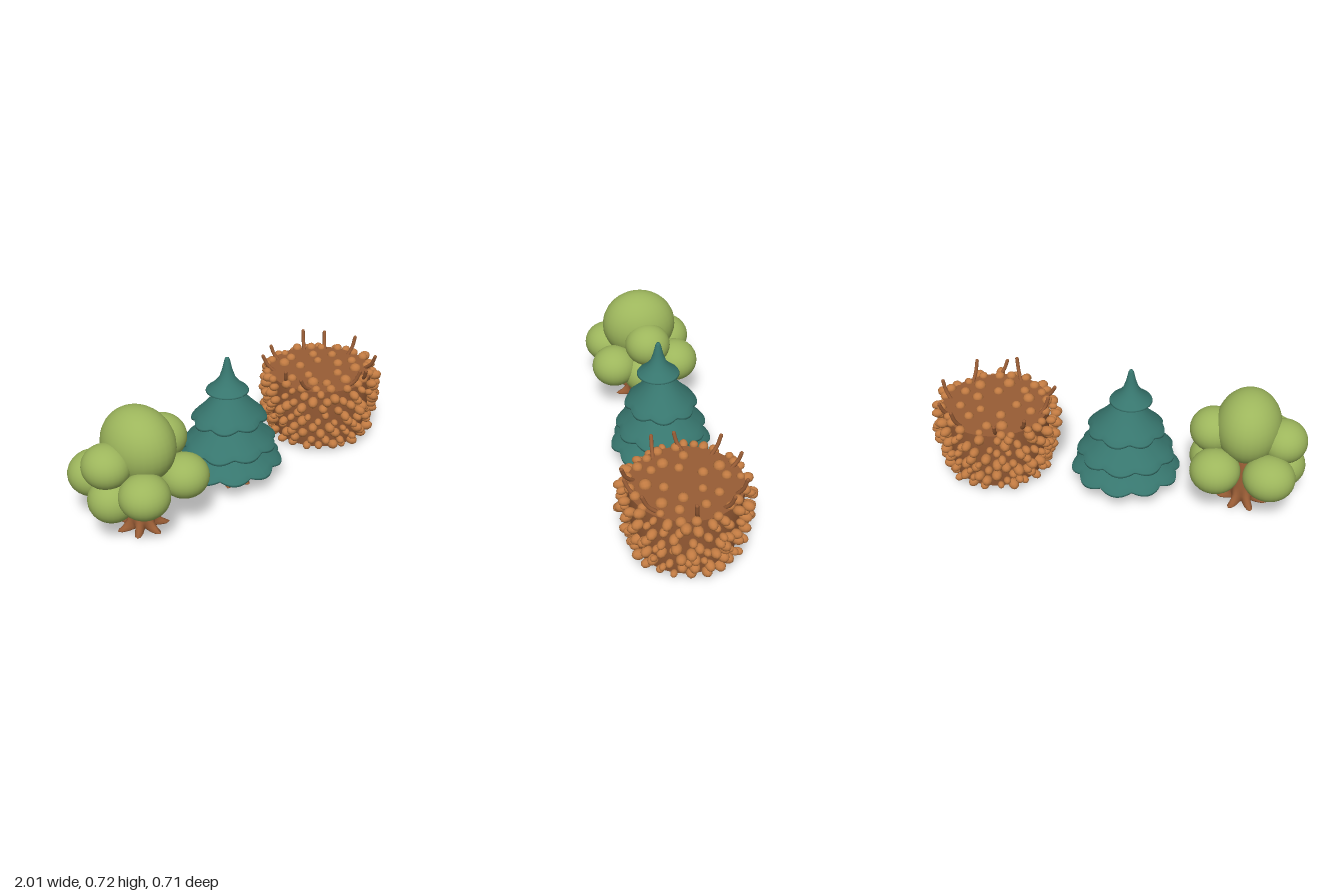
import * as THREE from 'three';
import { mergeGeometries } from 'three/addons/utils/BufferGeometryUtils.js';

const mat = (name, color) => {
  const m = new THREE.MeshStandardMaterial({ color });
  m.name = name;
  return m;
};

// seeded random numbers in 0..1
let seed = 7;
const rnd = () => {
  seed = (seed * 16807) % 2147483647;
  return seed / 2147483647;
};
const vary = (a) => (rnd() - 0.5) * 2 * a;

function add(parent, name, geometry, material) {
  const mesh = new THREE.Mesh(geometry, material);
  mesh.name = name;
  parent.add(mesh);
  return mesh;
}

const lathe = (points, segments) =>
  new THREE.LatheGeometry(points.map(([r, y]) => new THREE.Vector2(r, y)), segments);

// lathe whose vertices are then reshaped by rule(radius, y, angle) -> [radius, y]
function shapedLathe(points, segments, rule) {
  const g = lathe(points, segments);
  const p = g.attributes.position;
  for (let i = 0; i < p.count; i++) {
    const x = p.getX(i), z = p.getZ(i);
    const a = Math.atan2(x, z);
    const [r, y] = rule(Math.hypot(x, z), p.getY(i), a);
    p.setXYZ(i, r * Math.sin(a), y, r * Math.cos(a));
  }
  g.computeVertexNormals();
  return g;
}

// tapering trunk with a star of roots at the foot
function trunkGeometry() {
  const profile = [[0, 0.008], [0.088, 0.005], [0.096, 0.012], [0.085, 0.026], [0.074, 0.055],
    [0.067, 0.11], [0.059, 0.2], [0.048, 0.32], [0, 0.33]];
  return shapedLathe(profile, 56, (r, y, a) => {
    const flare = Math.max(0, 1 - y / 0.06);
    return [r * (1 + 0.55 * flare * Math.cos(7 * a)), y];
  });
}

// hollow skirt of foliage with a scalloped, drooping rim
function skirtGeometry({ y0, r0, y1, r1, lobes, turn }) {
  const outer = [], inner = [];
  for (let i = 0; i <= 8; i++) {
    const t = 1 - i / 8;
    const r = r1 + (r0 - r1) * Math.pow(t, 1.4), y = y0 + 0.016 + (y1 - y0 - 0.016) * (1 - t);
    outer.push([r, y]);
    inner.unshift([Math.max(r - 0.014, 0.01), y - 0.012]);
  }
  const profile = [...inner, [r0 - 0.012, y0], [r0, y0 + 0.004], ...outer];
  return shapedLathe(profile, 100, (r, y, a) => {
    const t = Math.min(1, Math.max(0, (y1 - y) / (y1 - y0)));
    const lobe = Math.abs(Math.cos((lobes * (a + turn)) / 2));
    return [r * (1 + 0.09 * t * t * (lobe - 0.85)), y - 0.018 * t ** 3 * (lobe - 0.5)];
  });
}

// one berry: a sphere stretched along the given direction
function berry(x, y, z, size, stretch, dir) {
  const g = new THREE.SphereGeometry(1, 10, 7);
  g.applyMatrix4(new THREE.Matrix4().compose(
    new THREE.Vector3(x, y, z),
    new THREE.Quaternion().setFromUnitVectors(new THREE.Vector3(0, 0, 1), dir.normalize()),
    new THREE.Vector3(size, size * 0.95, size * stretch)));
  return g;
}

export function createModel() {
  const leaf = mat('leaf green', 0x9db65c);
  const pine = mat('pine teal', 0x37766e);
  const bark = mat('bark brown', 0x985c35);
  bark.side = THREE.DoubleSide;
  const fruit = mat('berry orange', 0xc27b42);
  const model = new THREE.Group();
  model.name = 'plants';

  // round-crowned tree
  const tree = new THREE.Group();
  tree.name = 'leafyTree';
  tree.position.x = -0.69;
  model.add(tree);
  add(tree, 'treeTrunk', trunkGeometry(), bark);
  const blobs = [ // x, y, z, rx, ry, rz
    [-0.002, 0.475, 0, 0.17, 0.193, 0.205],
    [-0.19, 0.42, -0.02, 0.12, 0.11, 0.125],
    [0.174, 0.437, -0.02, 0.122, 0.115, 0.125],
    [-0.19, 0.247, 0.01, 0.12, 0.115, 0.12],
    [0.169, 0.253, 0, 0.125, 0.117, 0.12],
    [-0.12, 0.3, 0.168, 0.128, 0.112, 0.127],
    [0.145, 0.3, 0.165, 0.124, 0.112, 0.125],
    [-0.14, 0.295, -0.182, 0.134, 0.115, 0.128],
    [0.135, 0.295, -0.182, 0.13, 0.115, 0.126],
  ];
  blobs.forEach(([x, y, z, rx, ry, rz], i) => {
    const blob = add(tree, i ? 'crownBlob' : 'crownTop', new THREE.SphereGeometry(1, 28, 18), leaf);
    blob.position.set(x, y, z);
    blob.scale.set(rx, ry, rz);
  });

  // conifer
  const conifer = new THREE.Group();
  conifer.name = 'conifer';
  conifer.position.set(-0.055, 0, -0.01);
  model.add(conifer);
  add(conifer, 'coniferTrunk', trunkGeometry(), bark).position.z = 0.01;
  [
    { y0: 0.105, r0: 0.288, y1: 0.28, r1: 0.12, lobes: 10, turn: 0 },
    { y0: 0.215, r0: 0.258, y1: 0.41, r1: 0.09, lobes: 9, turn: 0.3 },
    { y0: 0.36, r0: 0.204, y1: 0.56, r1: 0.05, lobes: 8, turn: 0.1 },
  ].forEach((s) => {
    add(conifer, 'foliageSkirt', skirtGeometry(s), pine).scale.z = 0.93;
  });
  const tip = [[0.02, 0.56], [0.05, 0.548], [0.104, 0.53], [0.112, 0.534], [0.108, 0.541], [0.072, 0.57],
    [0.042, 0.608], [0.026, 0.655], [0.014, 0.708], [0.009, 0.718], [0, 0.721]];
  add(conifer, 'foliageTip', shapedLathe(tip, 40, (r, y) => [r, y]), pine).position.set(-0.022, 0, 0.01);

  // berry bush: a bulging wall, open below, with a flat top
  const bush = new THREE.Group();
  bush.name = 'berryBush';
  bush.position.x = 0.662;
  model.add(bush);
  const yTop = 0.388;
  const wall = [[0.245, 0.025], [0.262, 0.1], [0.278, 0.22], [0.286, yTop]];
  add(bush, 'bushWall', lathe(wall, 40), bark);
  const lid = add(bush, 'bushTop', new THREE.CircleGeometry(0.286, 40), bark);
  lid.rotation.x = -Math.PI / 2;
  lid.position.y = yTop;

  // berries in staggered rows round the side
  const side = [];
  const rows = 9, perRow = 22;
  for (let j = 0; j < rows; j++) {
    for (let i = 0; i < perRow; i++) {
      const a = ((i + (j % 2) / 2 + vary(0.22)) / perRow) * Math.PI * 2;
      const y = 0.043 + j * 0.041 + (j ? vary(0.012) : 0);
      const size = 0.0235 + vary(0.006);
      const r = 0.262 + 0.05 * Math.min(1, (y - 0.03) / 0.24) + vary(0.013);
      side.push(berry(r * Math.sin(a), y, r * Math.cos(a), size, 1.3,
        new THREE.Vector3(Math.sin(a), vary(0.35), Math.cos(a))));
    }
  }
  add(bush, 'sideBerries', mergeGeometries(side), fruit);

  // berries scattered over the top: [count, ring radius, size]
  const top = [];
  [[20, 0.28, 0.025], [10, 0.19, 0.03], [5, 0.1, 0.028]].forEach(([n, ring, size]) => {
    for (let i = 0; i < n; i++) {
      const a = ((i + vary(0.3)) / n) * Math.PI * 2, r = ring + vary(0.02);
      top.push(berry(r * Math.sin(a), yTop + 0.002, r * Math.cos(a), size + vary(0.004), 0.9,
        new THREE.Vector3(vary(0.2), 1, vary(0.2))));
    }
  });
  add(bush, 'topBerries', mergeGeometries(top), fruit);

  // curved twigs leaning outward round the rim
  for (let i = 0; i < 10; i++) {
    const a = ((i + 0.4 + vary(0.2)) / 10) * Math.PI * 2;
    const lean = 0.055 + vary(0.015), h = 0.084 + vary(0.016), bend = vary(0.2);
    const at = (r, y, b) => new THREE.Vector3(r * Math.sin(a + b), y, r * Math.cos(a + b));
    const curve = new THREE.CatmullRomCurve3([at(0.25, yTop - 0.01, 0),
      at(0.25 + lean * 0.65, yTop + h * 0.4, bend), at(0.25 + lean, yTop + h, bend * 1.4)]);
    const tube = new THREE.TubeGeometry(curve, 8, 0.01, 8);
    const end = new THREE.SphereGeometry(0.01, 8, 6).translate(...curve.getPoint(1).toArray());
    add(bush, 'twig', mergeGeometries([tube, end]), bark);
  }
  return model;
}
